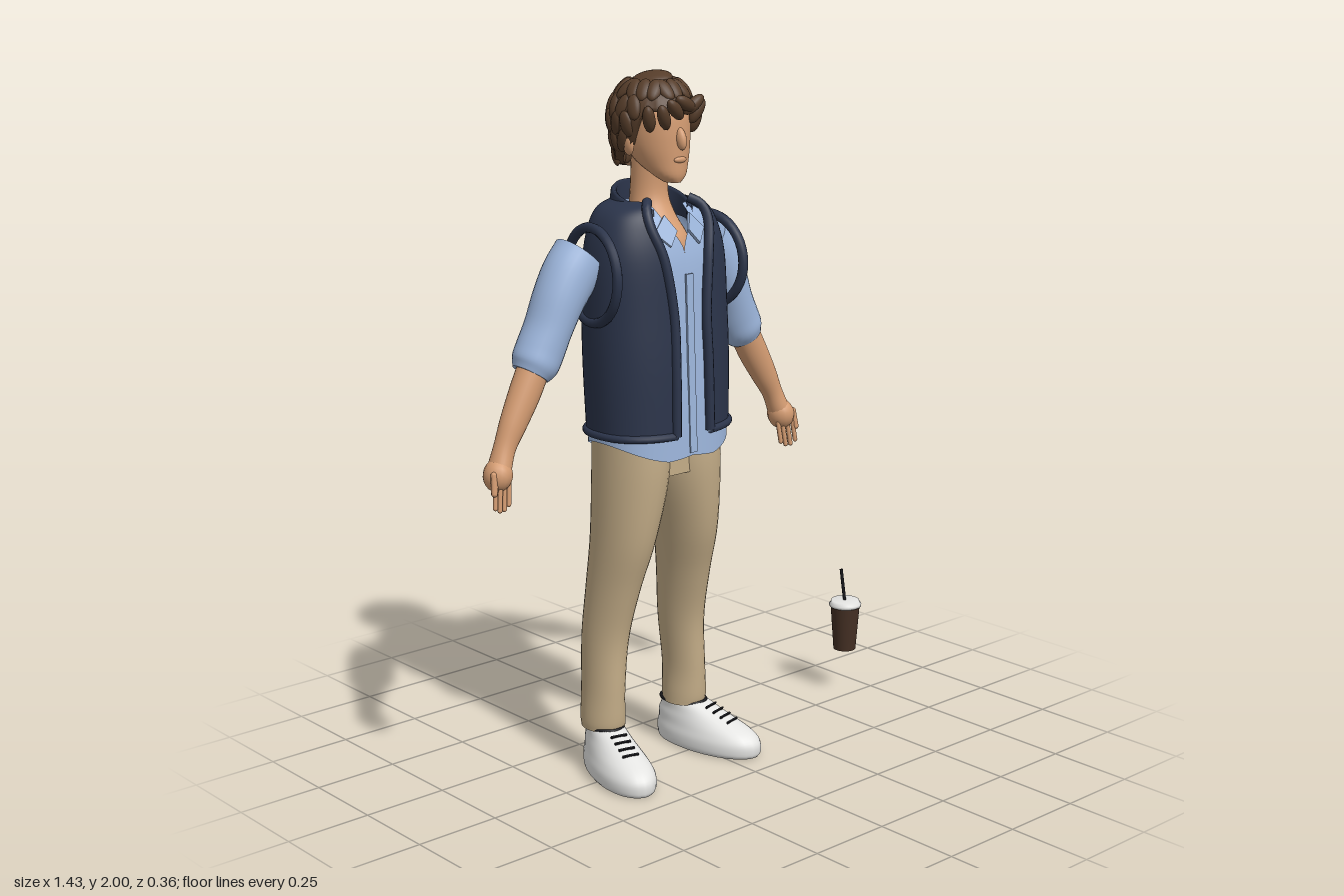
import * as THREE from 'three';

const V = (x, y, z) => new THREE.Vector3(x, y, z);

// Surface through rows of points; rows run upward, points run counter-clockwise seen from above
function skin(rows, closed, caps) {
  const pos = [], idx = [], n = rows[0].length;
  rows.forEach(r => r.forEach(p => pos.push(p.x, p.y, p.z)));
  for (let i = 0; i < rows.length - 1; i++) {
    for (let j = 0; j < (closed ? n : n - 1); j++) {
      const k = (j + 1) % n, a = i * n + j, b = i * n + k;
      idx.push(a, b, b + n, a, b + n, a + n);
    }
  }
  if (caps) [rows[0], rows[rows.length - 1]].forEach((r, end) => {
    const base = pos.length / 3, c = V(0, 0, 0);
    r.forEach(p => { c.add(p); pos.push(p.x, p.y, p.z); });
    c.divideScalar(n);
    pos.push(c.x, c.y, c.z);
    for (let j = 0; j < n; j++) {
      const a = base + j, b = base + (j + 1) % n;
      if (end) idx.push(a, b, base + n); else idx.push(b, a, base + n);
    }
  });
  const g = new THREE.BufferGeometry();
  g.setAttribute('position', new THREE.Float32BufferAttribute(pos, 3));
  g.setIndex(idx);
  g.computeVertexNormals();
  return g;
}

// Smooth in-between rows of five numbers
function smooth(list, steps) {
  const a = new THREE.CatmullRomCurve3(list.map(l => V(l[0], l[1], l[2])), false, 'catmullrom');
  const b = new THREE.CatmullRomCurve3(list.map(l => V(l[3], l[4], 0)), false, 'catmullrom');
  return Array.from({ length: steps + 1 }, (_, i) => {
    const p = a.getPoint(i / steps), q = b.getPoint(i / steps);
    return [p.x, p.y, p.z, q.x, q.y];
  });
}

// Elliptical loft through [x, y, z, across, deep]; level keeps the sections horizontal
function loft(list, level = true, steps = 24, n = 28) {
  const s = smooth(list, steps);
  const rows = s.map((c, i) => {
    const p = s[Math.max(0, i - 1)], q = s[Math.min(steps, i + 1)];
    const t = level ? V(0, 1, 0) : V(q[0] - p[0], q[1] - p[1], 0).normalize();
    return Array.from({ length: n }, (_, j) => {
      const a = j / n * Math.PI * 2, u = c[3] * Math.sin(a);
      return V(c[0] + t.y * u, c[1] - t.x * u, c[2] + c[4] * Math.cos(a));
    });
  });
  return skin(rows, true, true);
}

// Garment open at the front: [y, half width, z centre, half depth, half opening]
function garment(list, hem = () => 0) {
  const n = 56, e = 0.85;
  return smooth(list, 30).map(([y, rx, zc, rz, w]) => {
    const a0 = Math.asin(Math.min(1, Math.pow(Math.max(w, 0) / rx, 1 / e)));
    return Array.from({ length: n + 1 }, (_, j) => {
      const a = a0 + j / n * (Math.PI * 2 - 2 * a0), s = Math.sin(a), c = Math.cos(a);
      return V(rx * Math.sign(s) * Math.abs(s) ** e, y + hem(a, y), zc + rz * Math.sign(c) * Math.abs(c) ** e);
    });
  });
}

export function createModel() {
  const mat = (name, color, side = THREE.FrontSide) => {
    const m = new THREE.MeshStandardMaterial({ color, side });
    m.name = name;
    return m;
  };
  const navy = mat('navy', 0x2b344a, THREE.DoubleSide), blue = mat('light blue', 0x9db6dc, THREE.DoubleSide);
  const tan = mat('tan', 0xc4ad88), flesh = mat('skin', 0xd49c72), brown = mat('hair brown', 0x563d2a, THREE.DoubleSide);
  const white = mat('off white', 0xe4e4e2), black = mat('black', 0x18181c), coffee = mat('coffee', 0x453024);

  const root = new THREE.Group(), person = new THREE.Group();
  person.name = 'person';
  person.position.x = -0.14;
  root.add(person);
  const add = (name, geo, m, parent = person, p = [0, 0, 0], r = [0, 0, 0], s = [1, 1, 1]) => {
    const mesh = new THREE.Mesh(geo, m);
    mesh.name = name;
    mesh.position.set(...p); mesh.rotation.set(...r); mesh.scale.set(...s);
    parent.add(mesh);
    return mesh;
  };
  const ball = new THREE.SphereGeometry(1, 16, 12);
  const tube = (pts, r) => new THREE.TubeGeometry(new THREE.CatmullRomCurve3(pts), 48, r, 10);

  // Head and neck
  add('head', loft([[0, 1.705, 0.052, 0.02, 0.028], [0, 1.725, 0.04, 0.046, 0.047], [0, 1.76, 0.01, 0.068, 0.078],
    [0, 1.8, -0.008, 0.083, 0.096], [0, 1.85, -0.02, 0.091, 0.107], [0, 1.9, -0.025, 0.091, 0.105],
    [0, 1.95, -0.03, 0.072, 0.08], [0, 1.975, -0.03, 0.03, 0.03]]), flesh);
  add('neck', loft([[0, 1.48, -0.02, 0.1, 0.11], [0, 1.55, -0.02, 0.085, 0.1], [0, 1.61, -0.035, 0.064, 0.07],
    [0, 1.67, -0.045, 0.054, 0.053], [0, 1.77, -0.04, 0.053, 0.052]]), flesh);
  add('nose', ball, flesh, person, [0, 1.825, 0.088], [-0.3, 0, 0], [0.014, 0.032, 0.018]);
  add('lips', ball, flesh, person, [0, 1.768, 0.085], [0, 0, 0], [0.022, 0.009, 0.008]);

  // Hair cap with overlapping locks
  const hairline = f => f < 0 ? 1.8 + 0.065 * f : 1.8 + 0.1 * THREE.MathUtils.smoothstep(f, 0.15, 0.65);
  const hairAt = (a, y, grow = 1) => {
    const d = y - 1.87;
    const r = grow * (d > 0 ? Math.sqrt(Math.max(0, 1 - (d / 0.122) ** 2)) : 1 + 1.5 * d);
    return V(0.116 * r * Math.sin(a), y, -0.028 + 0.128 * r * Math.cos(a));
  };
  const cap = Array.from({ length: 15 }, (_, i) => Array.from({ length: 72 }, (_, j) => {
    const a = j / 72 * Math.PI * 2, y0 = hairline(Math.cos(a));
    const y = y0 + (1.992 - y0) * Math.sin(Math.max(0, i - 1) / 13 * Math.PI / 2);
    return hairAt(a, y, i === 0 ? 0.8 : 1 + 0.04 * Math.abs(Math.sin(a * 9 + y * 25)));
  }));
  add('hair', skin(cap, true, false), brown);
  [1.955, 1.91, 1.865, 1.82, 1.775].forEach((y, row) => {
    for (let j = 0; j < 18; j++) {
      const a = (j + (row % 2) / 2) / 18 * Math.PI * 2;
      if (y < hairline(Math.cos(a)) + 0.015) continue;
      const lean = row === 0 ? -0.7 : row === 1 ? -0.3 : 0.12, p = hairAt(a, y, 0.98);
      const m = add('hairLock', ball, brown, person, p.toArray(), [0, 0, 0], [0.021, 0.036, 0.013]);
      m.rotation.order = 'YXZ';
      m.rotation.set(lean, a, Math.sin(j * 2.3) * 0.35);
    }
  });
  [[-0.085, 1.88, 0.055, 0.3], [-0.06, 1.885, 0.088, 0.45], [-0.03, 1.905, 0.1, 0.8], [0.005, 1.92, 0.102, 1.1],
    [0.04, 1.915, 0.095, -0.9], [0.07, 1.895, 0.075, -0.5], [0.09, 1.87, 0.045, -0.2]].forEach(([x, y, z, r]) =>
    add('fringeLock', ball, brown, person, [x, y, z], [0.2, 0, r], [0.018, 0.038, 0.017]));
  add('crownTuft', ball, brown, person, [0, 1.978, -0.03], [0, 0, 0.2], [0.055, 0.022, 0.06]);

  // Shirt with a curved hem and an open neck
  const hem = (a, y) => Math.max(0, 1 - (y - 0.965) / 0.12) * (-0.028 * Math.cos(2 * a) + 0.015 * Math.max(0, 1 - Math.abs(Math.sin(a)) * 3));
  add('shirt', skin(garment([[0.965, 0.211, -0.012, 0.15, 0], [1.1, 0.21, -0.012, 0.145, 0], [1.3, 0.208, -0.018, 0.14, 0],
    [1.45, 0.205, -0.02, 0.133, 0], [1.53, 0.2, -0.025, 0.125, 0.002], [1.6, 0.165, -0.033, 0.108, 0.045],
    [1.64, 0.1, -0.045, 0.085, 0.055]], hem)), blue);
  add('shirtPlacket', new THREE.BoxGeometry(0.025, 0.5, 0.006), blue, person, [0, 1.21, 0.13], [-0.035, 0, 0]);

  // Vest shell with rolled edges
  const vest = garment([[1.015, 0.216, -0.012, 0.155, 0.062], [1.2, 0.222, -0.017, 0.156, 0.06], [1.35, 0.222, -0.022, 0.152, 0.06],
    [1.5, 0.217, -0.025, 0.143, 0.08], [1.59, 0.195, -0.03, 0.128, 0.105], [1.635, 0.162, -0.035, 0.113, 0.1],
    [1.655, 0.105, -0.04, 0.095, 0.075]]);
  add('vest', skin(vest, false, false), navy);
  add('vestHem', tube(vest[0], 0.011), navy);
  add('vestEdge', tube(vest.map(r => r[0]), 0.014), navy);
  add('vestEdge', tube(vest.map(r => r[r.length - 1]), 0.014), navy);

  // Standing collar, higher at the back
  const collar = [[1.595, 0.122, 0], [1.655, 0.112, 1], [1.662, 0.105, 1], [1.655, 0.096, 1], [1.595, 0.1, 0]].map(([y, r, k]) =>
    Array.from({ length: 33 }, (_, j) => {
      const a = 0.65 + j / 32 * (Math.PI * 2 - 1.3);
      return V(r * Math.sin(a), y - (0.01 + 0.025 * k) * Math.cos(a), -0.035 + r * Math.cos(a));
    }));
  add('vestCollar', skin(collar, false, false), navy);

  // Hips
  add('crotch', new THREE.BoxGeometry(0.13, 0.1, 0.2), tan, person, [0, 0.935, -0.02]);

  for (const s of [1, -1]) {
    const flip = list => list.map(([x, ...r]) => [x * s, ...r]);
    const side = s > 0 ? 'left' : 'right';
    add(side + 'Ear', ball, flesh, person, [s * 0.1, 1.81, -0.015], [0, 0, -s * 0.15], [0.012, 0.032, 0.02]);

    // Shirt collar point
    const wing = new THREE.Shape([[0.045, 1.625], [0.02, 1.575], [0.052, 1.535], [0.09, 1.58]].map(([x, y]) => new THREE.Vector2(x * s, y - 1.58)));
    add(side + 'CollarPoint', new THREE.ExtrudeGeometry(wing, { depth: 0.008, bevelEnabled: false }), blue, person, [0, 1.58, 0.092], [-0.45, s * 0.2, 0]);

    // Armhole ring
    add(side + 'Armhole', new THREE.TorusGeometry(0.128, 0.014, 10, 40), navy, person, [s * 0.215, 1.46, -0.035], [0, Math.PI / 2 + s * 0.12, 0], [1, 1.02, 1]);

    // Rolled sleeve, forearm and hand
    add(side + 'Sleeve', loft(flip([[0.222, 1.505, -0.075, 0.084, 0.075], [0.262, 1.46, -0.075, 0.08, 0.075], [0.3, 1.4, -0.075, 0.073, 0.073],
      [0.335, 1.325, -0.078, 0.066, 0.07], [0.362, 1.268, -0.08, 0.068, 0.068], [0.382, 1.23, -0.08, 0.066, 0.066],
      [0.398, 1.205, -0.08, 0.052, 0.054]]), false, 30), blue);
    add(side + 'Forearm', loft(flip([[0.385, 1.23, -0.075, 0.045, 0.045], [0.425, 1.155, -0.072, 0.045, 0.042], [0.468, 1.08, -0.068, 0.039, 0.036],
      [0.5, 1.02, -0.065, 0.031, 0.031], [0.523, 0.965, -0.06, 0.032, 0.036]]), false), flesh);
    add(side + 'Palm', ball, flesh, person, [s * 0.53, 0.95, -0.058], [0, 0, s * 0.2], [0.04, 0.046, 0.042]);
    for (let i = 0; i < 4; i++) {
      add(side + 'Finger', new THREE.CapsuleGeometry(0.007, 0.06, 4, 8), flesh, person,
        [s * (0.508 + i * 0.017), 0.895 + (i % 3 ? -0.006 : 0.004), -0.04 + i * 0.003], [-0.1, 0, s * 0.12]);
    }
    add(side + 'Thumb', new THREE.CapsuleGeometry(0.009, 0.05, 4, 8), flesh, person, [s * 0.562, 0.935, -0.032], [-0.15, 0, s * 0.1]);

    // Trouser leg
    add(side + 'TrouserLeg', loft(flip([[0.156, 0.128, -0.08, 0.06, 0.068], [0.157, 0.16, -0.08, 0.06, 0.073], [0.155, 0.25, -0.08, 0.055, 0.075],
      [0.145, 0.4, -0.08, 0.06, 0.08], [0.133, 0.55, -0.057, 0.067, 0.093], [0.118, 0.7, -0.03, 0.08, 0.111],
      [0.098, 0.88, -0.02, 0.098, 0.125], [0.096, 1.03, -0.02, 0.096, 0.125]]), true, 36), tan);

    // Shoe, toes turned outward
    const shoe = new THREE.Group();
    shoe.name = side + 'Shoe';
    shoe.position.set(s * 0.155, 0, -0.08);
    shoe.rotation.y = s * 0.24;
    person.add(shoe);
    const body = loft([[0, 0, 0.09, 0.07, 0.172], [0, 0.012, 0.09, 0.077, 0.178], [0, 0.04, 0.088, 0.077, 0.178], [0, 0.065, 0.078, 0.07, 0.163],
      [0, 0.088, 0.052, 0.063, 0.137], [0, 0.11, 0.03, 0.056, 0.106], [0, 0.134, 0.002, 0.052, 0.078]]);
    const bp = body.attributes.position;
    for (let i = 0; i < bp.count; i++) bp.setX(i, bp.getX(i) * (1 + 0.9 * (bp.getZ(i) - 0.08)));
    body.computeVertexNormals();
    add('shoeBody', body, white, shoe);
    add('shoeOpening', new THREE.TorusGeometry(0.06, 0.006, 8, 32), black, shoe, [0, 0.132, 0], [Math.PI / 2, 0, 0], [0.85, 1.2, 1]);
    for (let i = 0; i < 4; i++) {
      add('lace', new THREE.BoxGeometry(0.05, 0.007, 0.005), black, shoe, [0, 0.127 - i * 0.0105, 0.1 + i * 0.025], [0.45, 0, 0]);
    }
  }

  // Drink cup with lid and straw
  const cup = new THREE.Group();
  cup.name = 'drinkCup';
  cup.position.set(0.665, 0, -0.038);
  root.add(cup);
  add('cupBody', new THREE.CylinderGeometry(0.046, 0.035, 0.145, 32), coffee, cup, [0, 0.2125, 0]);
  const lid = [[0, 0.282], [0.05, 0.282], [0.051, 0.29], [0.046, 0.293], [0.044, 0.302], [0, 0.302]].map(p => new THREE.Vector2(...p));
  add('cupLid', new THREE.LatheGeometry(lid, 32), white, cup);
  add('straw', new THREE.CylinderGeometry(0.005, 0.005, 0.11, 10), black, cup, [-0.006, 0.348, -0.005], [-0.08, 0, 0.09]);
  return root;
}
